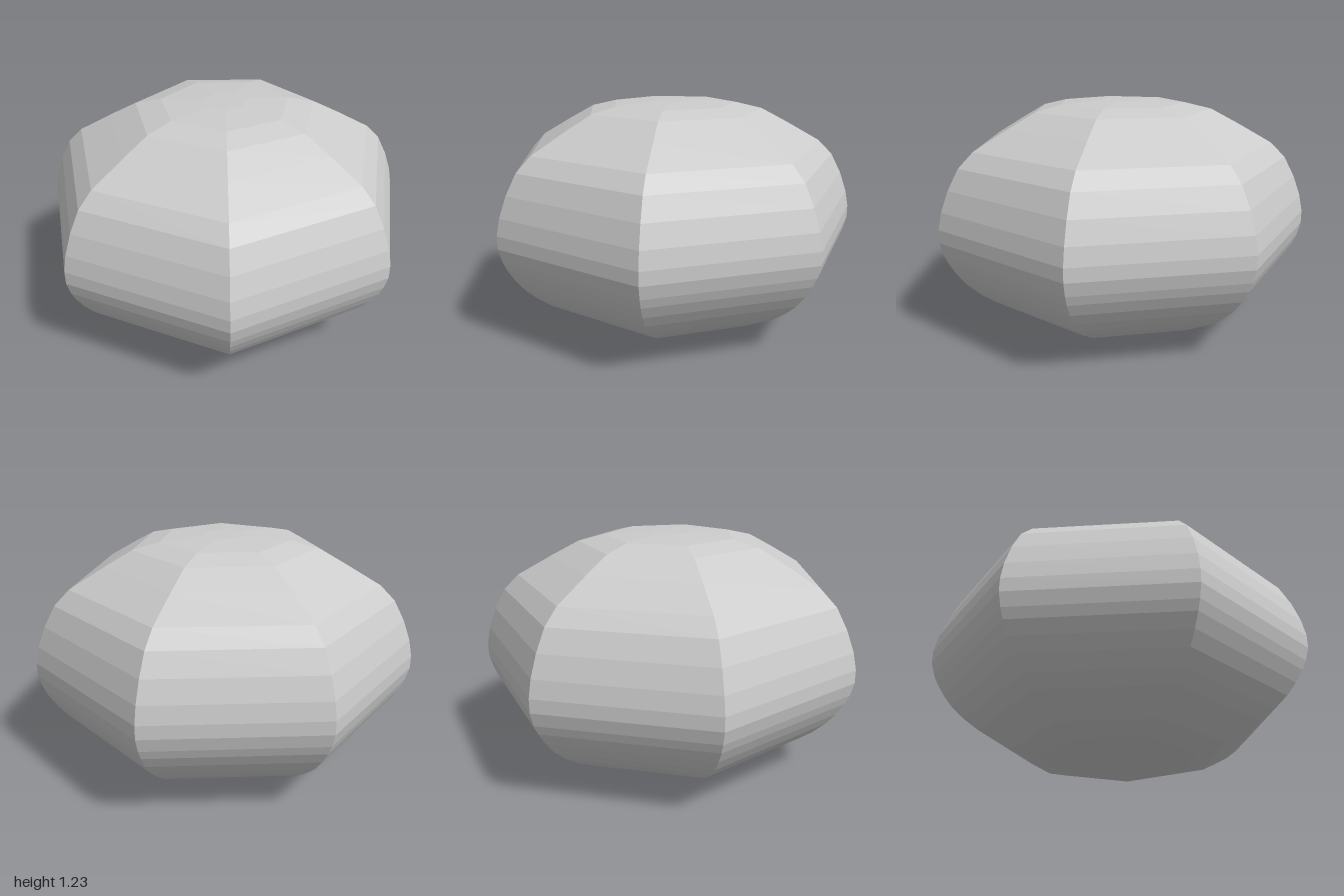
import * as THREE from 'three';

export function createModel() {
  const group = new THREE.Group();
  const sides = 7;

  // Half outline [radius, height] from the flat base up to the shallow crown
  const outline = [
    [0, 0], [0.26, 0.003], [0.42, 0.022], [0.57, 0.063], [0.75, 0.16],
    [0.825, 0.215], [0.895, 0.28], [0.945, 0.345], [0.985, 0.41], [1.007, 0.46],
    [1.026, 0.53], [1.026, 0.6], [1.008, 0.69], [0.968, 0.8],
    [0.91, 0.91], [0.83, 0.99], [0.645, 1.095], [0.495, 1.175],
    [0.35, 1.21], [0.115, 1.225], [0, 1.225],
  ].map(([r, y]) => new THREE.Vector2(r, y));

  // Seven-sided faceted body with one corner pointing to +x
  const body = new THREE.Mesh(
    new THREE.LatheGeometry(outline, sides, Math.PI / 2),
    new THREE.MeshStandardMaterial({ color: 0xcccccc, flatShading: true }),
  );
  body.name = 'facetedStone';
  body.position.x = -0.05; // centres the odd-sided outline on x = 0
  group.add(body);

  return group;
}
